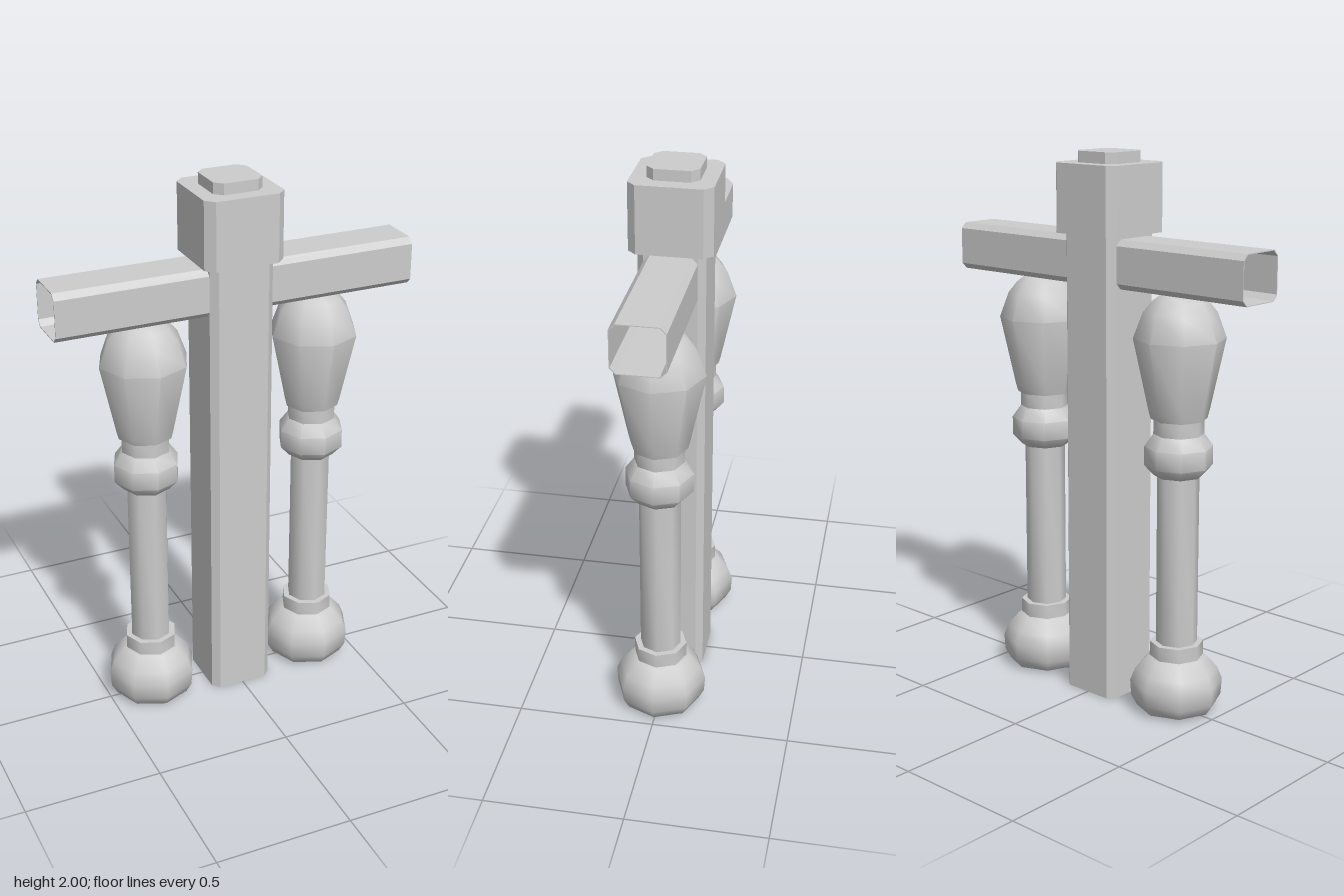
import * as THREE from 'three';
import { toCreasedNormals } from 'three/addons/utils/BufferGeometryUtils.js';

// Rectangle outline with cut corners; w and h are half sizes
function chamfered(Type, w, h, c) {
  const p = [[w, h - c], [w - c, h], [c - w, h], [-w, h - c], [-w, c - h], [c - w, -h], [w - c, -h], [w, c - h]];
  return new Type(p.map(([x, y]) => new THREE.Vector2(x, y)));
}

export function createModel() {
  const model = new THREE.Group();
  model.name = 'postWithBalusters';
  const grey = new THREE.MeshStandardMaterial({ color: 0xcccccc });
  grey.name = 'light grey';

  function add(parent, name, geometry) {
    const mesh = new THREE.Mesh(geometry, grey);
    mesh.name = name;
    parent.add(mesh);
    return mesh;
  }

  // Upright square blocks with chamfered corners: half size, chamfer, bottom, top
  const blocks = [
    ['post', 0.119, 0.025, 0, 1.72],
    ['postCap', 0.147, 0.031, 1.715, 1.96],
    ['finial', 0.091, 0.028, 1.96, 2],
  ];
  for (const [name, half, cut, y0, y1] of blocks) {
    const g = new THREE.ExtrudeGeometry(chamfered(THREE.Shape, half, half, cut), { depth: y1 - y0, bevelEnabled: false });
    g.rotateX(-Math.PI / 2).translate(0, y0, 0);
    add(model, name, g);
  }

  // Hollow crossbeam, open at both ends
  const section = chamfered(THREE.Shape, 0.093, 0.087, 0.021);
  section.holes.push(chamfered(THREE.Path, 0.09, 0.084, 0.02));
  const beam = new THREE.ExtrudeGeometry(section, { depth: 1.34, bevelEnabled: false });
  beam.translate(0, 0, -0.67).rotateY(Math.PI / 2).translate(0, 1.617, 0);
  add(model, 'crossbeam', beam);

  // Turned eight-sided balusters, profiles as [radius, height]
  const profiles = {
    foot: [[0, 0.003], [0.125, 0.004], [0.143, 0.012], [0.164, 0.05], [0.168, 0.11], [0.15, 0.155], [0.11, 0.2], [0.09, 0.21]],
    footCollar: [[0.097, 0.19], [0.097, 0.26], [0, 0.26]],
    shaft: [[0.075, 0.25], [0.075, 0.9]],
    ring: [[0, 0.885], [0.088, 0.885], [0.122, 0.922], [0.122, 0.99], [0.09, 1.035], [0, 1.035]],
    neck: [[0.09, 1.03], [0.09, 1.095]],
    vase: [[0, 1.09], [0.1, 1.09], [0.108, 1.12], [0.163, 1.375], [0.13, 1.465], [0.098, 1.505], [0.065, 1.53], [0, 1.532]],
  };
  for (const side of [1, -1]) {
    const baluster = new THREE.Group();
    baluster.name = side > 0 ? 'leftBaluster' : 'rightBaluster';
    baluster.position.x = side * 0.33;
    for (const [name, points] of Object.entries(profiles)) {
      const lathe = new THREE.LatheGeometry(points.map(([r, y]) => new THREE.Vector2(r, y)), 8);
      add(baluster, name, toCreasedNormals(lathe, 0.9));
    }
    model.add(baluster);
  }
  return model;
}
